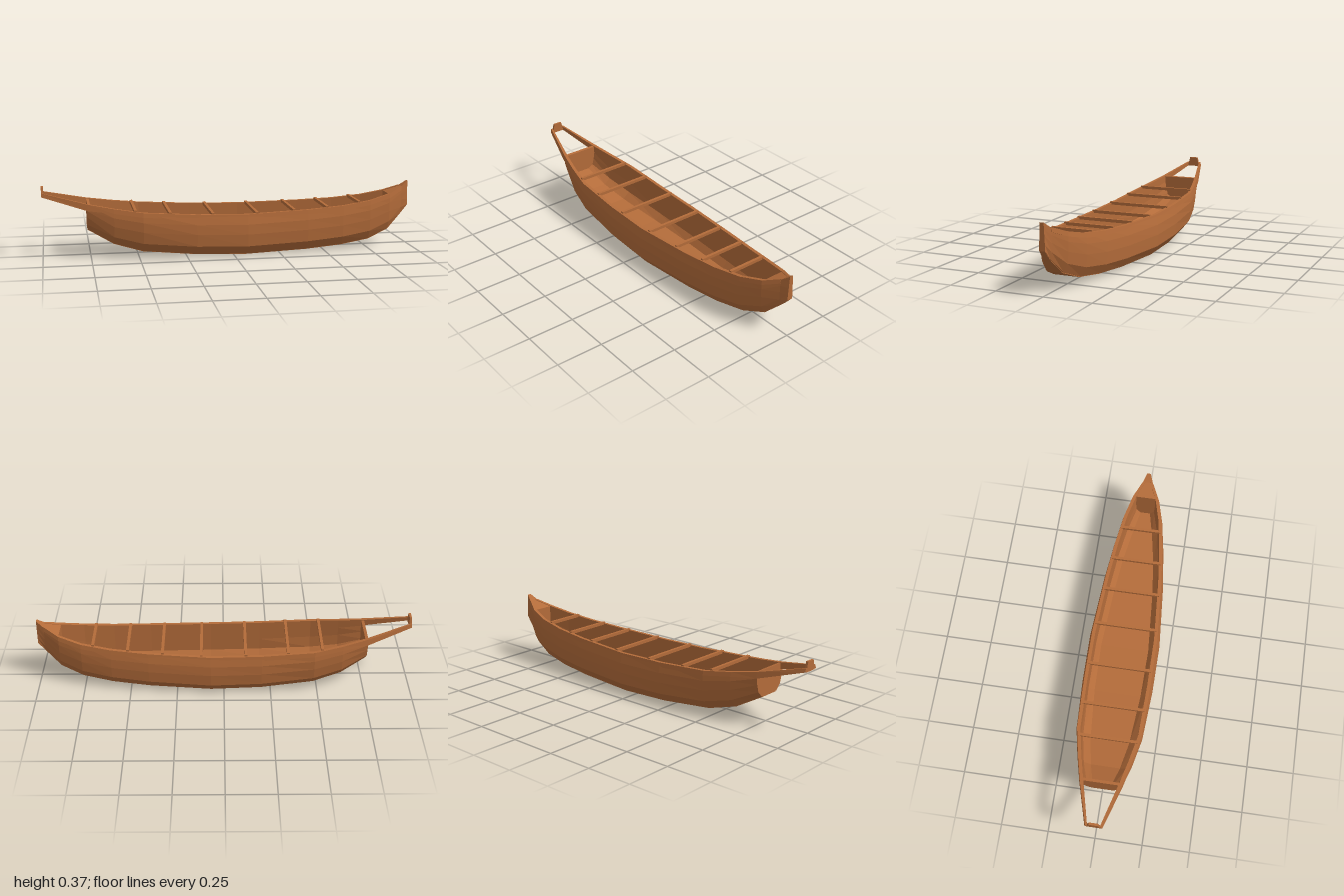
import * as THREE from 'three';

const wood = new THREE.MeshStandardMaterial({ color: 0xb46c3a, flatShading: true, side: THREE.DoubleSide });

// Hull stations: x, bottom y, sheer y, bottom half-width, sheer half-width, side bulge
const STATIONS = [
  [-1.0, 0.3, 0.34, 0.03, 0.041, 0],
  [-0.765, 0.145, 0.286, 0.06, 0.108, 0.6],
  [-0.63, 0.07, 0.263, 0.095, 0.14, 0.85],
  [-0.48, 0.03, 0.243, 0.122, 0.17, 0.9],
  [-0.2, 0.008, 0.226, 0.145, 0.178, 1],
  [0.07, 0, 0.22, 0.15, 0.178, 1],
  [0.4, 0.009, 0.229, 0.127, 0.155, 0.9],
  [0.6, 0.022, 0.24, 0.105, 0.133, 0.8],
  [0.76, 0.042, 0.259, 0.075, 0.107, 0.7],
  [0.88, 0.088, 0.287, 0.045, 0.072, 0.5],
  [0.96, 0.168, 0.32, 0.02, 0.028, 0.2],
  [1.0, 0.215, 0.35, 0.016, 0.01, 0],
];
const HEIGHTS = [1, 0.77, 0.53, 0.24, 0.02];
const BULGE = [0, 0.018, 0.028, 0.032, 0];

// Linear interpolation between stations
function stationAt(x) {
  let i = 0;
  while (i < STATIONS.length - 2 && STATIONS[i + 1][0] < x) i++;
  const a = STATIONS[i], b = STATIONS[i + 1], t = (x - a[0]) / (b[0] - a[0]);
  return a.map((v, k) => v + (b[k] - v) * t);
}

// Mirror a half-section [z, y] running from the +z sheer down to the bottom
const mirrored = (half) => [...half, ...half.map(([z, y]) => [-z, y]).reverse()];

function outerSection([, y0, y1, b, w, g]) {
  const half = HEIGHTS.map((t, i) => [b + (w - b) * t + BULGE[i] * g, y0 + (y1 - y0) * t]);
  // slightly proud bottom board
  half.push([b * 0.9, half[4][1]], [b * 0.9, y0]);
  return mirrored(half);
}

function innerSection([, y0, y1, b, w, g]) {
  const half = HEIGHTS.map((t, i) => [
    Math.min(b + (w - b) * t + BULGE[i] * g, w) - 0.018,
    Math.max(y0 + (y1 - y0) * t, y0 + 0.018),
  ]);
  return mirrored(half);
}

// Skin a series of closed [z, y] rings set at the given x positions
function loft(name, xs, rings, caps = true) {
  const n = rings[0].length, pos = [], idx = [];
  rings.forEach((ring, i) => ring.forEach(([z, y]) => pos.push(xs[i], y, z)));
  for (let i = 0; i < rings.length - 1; i++) {
    for (let j = 0; j < n; j++) {
      const a = i * n + j, b = i * n + ((j + 1) % n);
      idx.push(a, b, b + n, a, b + n, a + n);
    }
  }
  if (caps) {
    const e = (rings.length - 1) * n;
    for (let j = 1; j < n - 1; j++) idx.push(0, j + 1, j, e, e + j, e + j + 1);
  }
  const geo = new THREE.BufferGeometry();
  geo.setAttribute('position', new THREE.Float32BufferAttribute(pos, 3));
  geo.setIndex(idx);
  geo.computeVertexNormals();
  const mesh = new THREE.Mesh(geo, wood);
  mesh.name = name;
  return mesh;
}

export function createModel() {
  const boat = new THREE.Group();
  boat.name = 'boat';

  // Open hull shell: outer skin joined to inner skin
  const body = STATIONS.filter((s) => s[0] > -0.9 && s[0] < 0.9);
  boat.add(loft('hull', body.map((s) => s[0]),
    body.map((s) => [...outerSection(s), ...innerSection(s).reverse()]), false));

  // Solid bow and stern transom
  const bow = STATIONS.filter((s) => s[0] >= 0.88);
  boat.add(loft('bow', bow.map((s) => s[0]), bow.map(outerSection)));
  const stern = [-0.765, -0.75].map(stationAt);
  boat.add(loft('transom', stern.map((s) => s[0]), stern.map(outerSection)));

  // Gunwale rails running past the transom to the stern tip
  const railStations = STATIONS.filter((s) => s[0] < 0.97);
  const railSection = ([x, , y, , w]) => {
    const thick = x < -0.9 ? 0.014 : Math.min(0.022, w * 0.7);
    const deep = x < -0.9 ? 0.02 : x < -0.7 ? 0.034 : 0.024;
    const out = w + 0.004, top = y + 0.003;
    return [[out, top - deep], [out - thick, top - deep], [out - thick, top], [out - 0.004, top]];
  };
  for (const side of [1, -1]) {
    const rings = railStations.map((s) => {
      const ring = railSection(s).map(([z, y]) => [z * side, y]);
      return side > 0 ? ring : ring.reverse();
    });
    boat.add(loft(side > 0 ? 'frontRail' : 'backRail', railStations.map((s) => s[0]), rings));
  }

  // Tapered block joining the rail tips
  const block = [[0.023, 0.372], [0.036, 0.32], [-0.036, 0.32], [-0.023, 0.372]];
  boat.add(loft('sternBlock', [-1, -0.988], [block, block]));

  // Cross bars laid over the rails
  for (const x of [-0.52, -0.34, -0.115, 0.12, 0.325, 0.51, 0.695]) {
    const [, , y, , w] = stationAt(x);
    const bar = new THREE.Mesh(new THREE.BoxGeometry(0.015, 0.016, 2 * (w - 0.008)), wood);
    bar.name = 'crossBar';
    bar.position.set(x, y + 0.003, 0);
    boat.add(bar);
  }
  return boat;
}
